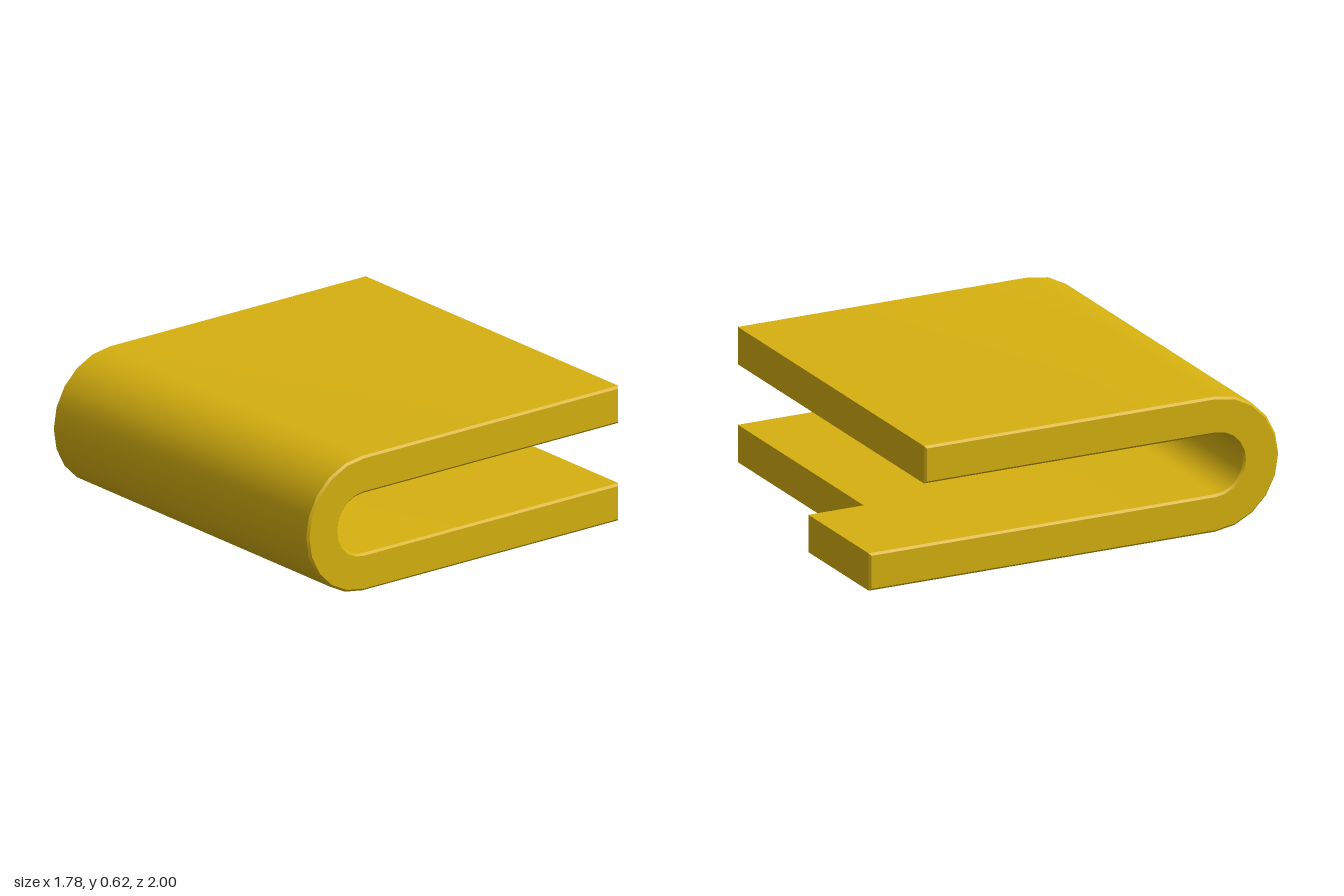
import * as THREE from 'three';
import { toCreasedNormals } from 'three/addons/utils/BufferGeometryUtils.js';

const BEVEL = 0.01;

// Extrude a side profile, drawn as (z, y), across x0..x1 with softened edges
function extrudeAcross(shape, x0, x1) {
  const geometry = new THREE.ExtrudeGeometry(shape, {
    depth: x1 - x0 - 2 * BEVEL,
    curveSegments: 5,
    bevelEnabled: true,
    bevelThickness: BEVEL,
    bevelSize: BEVEL,
    bevelOffset: -BEVEL,
    bevelSegments: 1,
  });
  geometry.rotateY(-Math.PI / 2);
  geometry.translate(x1 - BEVEL, 0, 0);
  return toCreasedNormals(geometry, 0.5);
}

export function createModel() {
  const group = new THREE.Group();
  group.name = 'foldedClip';
  const brass = new THREE.MeshStandardMaterial({ color: 0xd6b010 });
  brass.name = 'brass yellow';

  const halfWidth = 0.89, outer = 0.311, thickness = 0.172;
  const inner = outer - thickness, bendZ = 1 - outer, backZ = -0.73;

  // Folded plate: bottom leaf, round front bend and top leaf in one profile
  const fold = new THREE.Shape();
  fold.moveTo(backZ, 0);
  fold.lineTo(bendZ, 0);
  fold.absarc(bendZ, outer, outer, -Math.PI / 2, Math.PI / 2, false);
  fold.lineTo(backZ, 2 * outer);
  fold.lineTo(backZ, 2 * outer - thickness);
  fold.lineTo(bendZ, 2 * outer - thickness);
  fold.absarc(bendZ, outer, inner, Math.PI / 2, -Math.PI / 2, true);
  fold.lineTo(backZ, thickness);
  fold.closePath();
  const plate = new THREE.Mesh(extrudeAcross(fold, -halfWidth, halfWidth), brass);
  plate.name = 'foldedPlate';
  group.add(plate);

  // Tab continuing the bottom leaf at the back, rooted slightly inside it
  const tabShape = new THREE.Shape();
  tabShape.moveTo(-1, 0);
  tabShape.lineTo(backZ + 0.03, 0);
  tabShape.lineTo(backZ + 0.03, thickness);
  tabShape.lineTo(-1, thickness);
  tabShape.closePath();
  const tab = new THREE.Mesh(extrudeAcross(tabShape, -halfWidth, -0.3), brass);
  tab.name = 'backTab';
  group.add(tab);

  return group;
}
